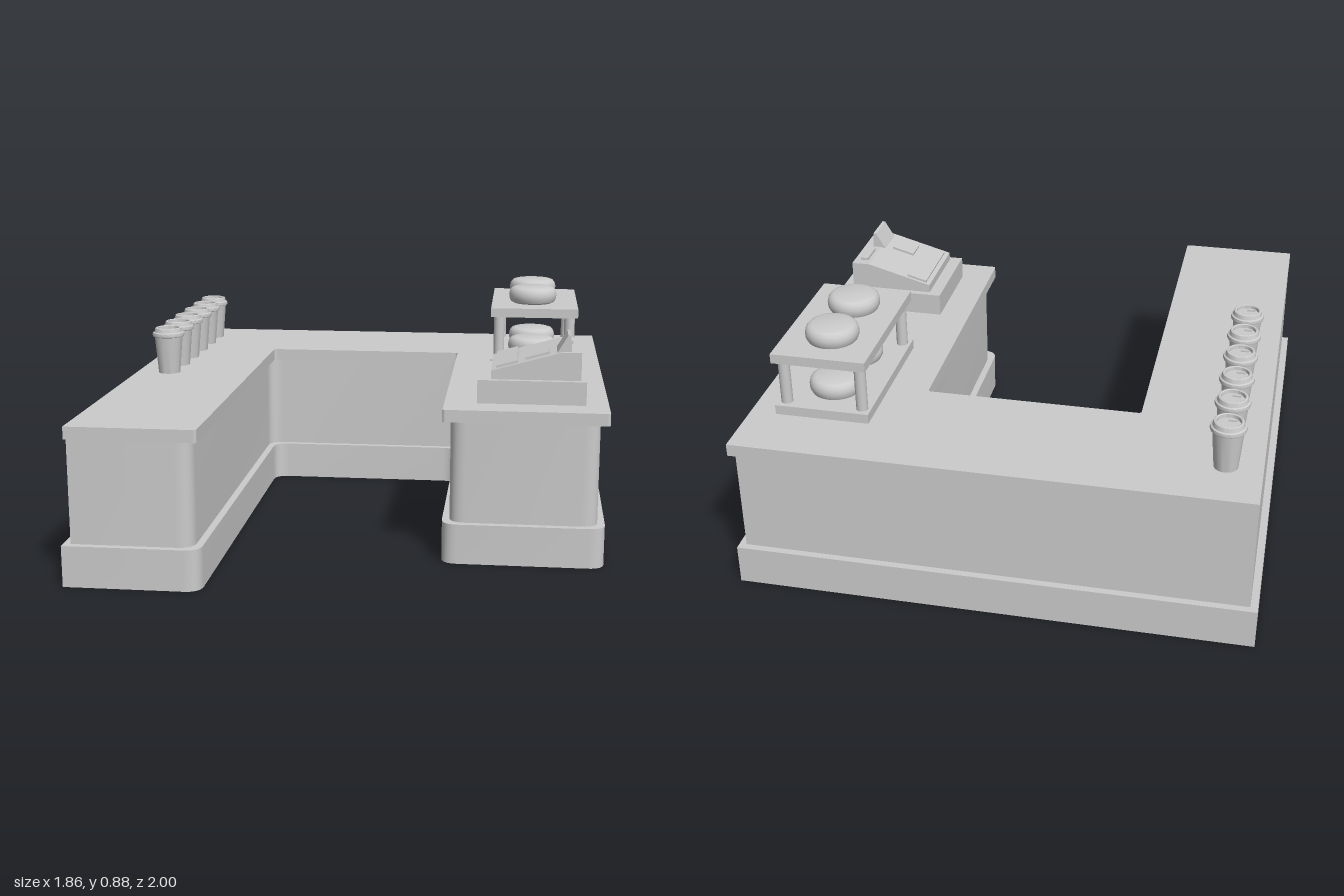
import * as THREE from 'three';
import { toCreasedNormals } from 'three/addons/utils/BufferGeometryUtils.js';

const grey = new THREE.MeshStandardMaterial({ color: 0xcccccc });
const greyDouble = new THREE.MeshStandardMaterial({ color: 0xcccccc, side: THREE.DoubleSide });

function part(parent, name, geometry, x = 0, y = 0, z = 0, material = grey) {
  const mesh = new THREE.Mesh(geometry, material);
  mesh.name = name;
  mesh.position.set(x, y, z);
  parent.add(mesh);
  return mesh;
}

function box(parent, name, w, h, d, x, bottom, z) {
  return part(parent, name, new THREE.BoxGeometry(w, h, d), x, bottom + h / 2, z);
}

function lathe(points, segments = 32) {
  const profile = points.map(([r, y]) => new THREE.Vector2(r, y));
  return toCreasedNormals(new THREE.LatheGeometry(profile, segments), 0.6);
}

// U-shaped plan with one long and one short arm; shape y is -z
function counterPlan(left, right, back, inset, radius) {
  const corners = [
    [left + inset, 1 - inset, 0],
    [-0.45 - inset, 1 - inset, radius],
    [-0.45 - inset, -0.483 - inset, radius],
    [0.34 + inset, -0.483 - inset, radius],
    [0.34 + inset, 0.607 - inset, radius],
    [right - inset, 0.607 - inset, radius],
    [right - inset, back + inset, 0],
    [left + inset, back + inset, 0],
  ].map(([x, z, r]) => ({ p: new THREE.Vector2(x, -z), r }));
  const shape = new THREE.Shape();
  corners.forEach(({ p, r }, i) => {
    if (i === 0) return shape.moveTo(p.x, p.y);
    if (r === 0) return shape.lineTo(p.x, p.y);
    const toward = (q) => p.clone().add(q.clone().sub(p).setLength(r));
    const a = toward(corners[i - 1].p);
    const b = toward(corners[(i + 1) % corners.length].p);
    shape.lineTo(a.x, a.y);
    shape.quadraticCurveTo(p.x, p.y, b.x, b.y);
  });
  shape.lineTo(corners[0].p.x, corners[0].p.y);
  return shape;
}

// Open walls joining plan outlines stacked at different heights
function walls(levels) {
  const rings = levels.map(([shape, y]) =>
    shape.getPoints(8).map((p) => new THREE.Vector3(p.x, y, -p.y)));
  const points = [];
  for (let k = 0; k < rings.length - 1; k++) {
    const lower = rings[k], upper = rings[k + 1];
    for (let i = 0; i < lower.length - 1; i++) {
      points.push(lower[i], lower[i + 1], upper[i + 1], lower[i], upper[i + 1], upper[i]);
    }
  }
  return toCreasedNormals(new THREE.BufferGeometry().setFromPoints(points), 0.6);
}

function extrudeAlongZ(points, z0, z1) {
  const shape = new THREE.Shape(points.map(([x, y]) => new THREE.Vector2(x, y)));
  const geometry = new THREE.ExtrudeGeometry(shape, { depth: z1 - z0, bevelEnabled: false });
  return geometry.translate(0, 0, z0);
}

function makeCounter() {
  const counter = new THREE.Group();
  counter.name = 'counter';
  const plinth = counterPlan(-0.93, 0.922, -1, 0, 0.06);
  const body = counterPlan(-0.93, 0.922, -1, 0.026, 0.06);
  part(counter, 'plinth', walls([[plinth, 0], [plinth, 0.147], [body, 0.147]]), 0, 0, 0, greyDouble);
  part(counter, 'counterBody', walls([[body, 0.147], [body, 0.523]]), 0, 0, 0, greyDouble);

  const slab = new THREE.ExtrudeGeometry(counterPlan(-0.905, 0.926, -0.975, 0, 0.012),
    { depth: 0.045, bevelEnabled: false });
  part(counter, 'countertop', slab.rotateX(-Math.PI / 2), 0, 0.521, 0);
  return counter;
}

const TOP = 0.566;

function makeCup(z) {
  const cup = new THREE.Group();
  cup.name = 'cup';
  cup.position.set(-0.777, TOP, z);
  part(cup, 'cupBody', lathe([[0, 0], [0.042, 0], [0.055, 0.15]]));
  part(cup, 'cupLid', lathe([
    [0.055, 0.144], [0.061, 0.146], [0.063, 0.152], [0.061, 0.16], [0.055, 0.163],
    [0.051, 0.178], [0.046, 0.18], [0.042, 0.178], [0.041, 0.166], [0, 0.166],
  ]));
  box(cup, 'sipTab', 0.03, 0.006, 0.009, -0.012, 0.166, 0.02);
  return cup;
}

function makeCakeStand() {
  const stand = new THREE.Group();
  stand.name = 'cakeStand';
  stand.position.set(0.658, TOP, -0.457);
  const cake = lathe([
    [0, 0], [0.075, 0], [0.088, 0.006], [0.095, 0.02], [0.096, 0.036],
    [0.092, 0.052], [0.083, 0.062], [0.07, 0.066], [0, 0.067],
  ], 40);
  for (const [name, y] of [['lowerShelf', 0], ['upperShelf', 0.207]]) {
    box(stand, name, 0.345, 0.036, 0.578, 0, y, 0);
    for (const z of [-0.137, 0.108]) part(stand, 'cake', cake, -0.008, y + 0.036, z);
  }
  const post = new THREE.CylinderGeometry(0.021, 0.021, 0.172, 20);
  for (const x of [-0.14, 0.14]) {
    for (const z of [-0.25, 0.25]) part(stand, 'post', post, x, 0.121, z);
  }
  return stand;
}

function makeRegister() {
  const register = new THREE.Group();
  register.name = 'cashRegister';
  box(register, 'cashDrawer', 0.388, 0.085, 0.366, 0.651, TOP, 0.305);

  // Sloped housing facing the inside of the counter
  part(register, 'housing', extrudeAlongZ(
    [[0.505, 0.65], [0.825, 0.65], [0.825, 0.752], [0.755, 0.752], [0.505, 0.682]], 0.146, 0.466));
  part(register, 'display', extrudeAlongZ(
    [[0.735, 0.742], [0.79, 0.742], [0.786, 0.812], [0.775, 0.81]], 0.318, 0.446));

  // Panels lying on the slope
  const slope = Math.atan2(0.07, 0.25);
  for (const [name, w, d, x, z] of [
    ['keyPanel', 0.08, 0.286, 0.561, 0.3],
    ['numberPad', 0.09, 0.092, 0.67, 0.383],
  ]) {
    const y = 0.682 + (x - 0.505) * 0.28;
    part(register, name, new THREE.BoxGeometry(w, 0.018, d), x, y, z).rotation.z = slope;
  }
  box(register, 'receiptSlot', 0.03, 0.012, 0.1, 0.785, 0.75, 0.232);
  return register;
}

export function createModel() {
  const model = new THREE.Group();
  model.name = 'cafeCounter';
  model.add(makeCounter(), makeCakeStand(), makeRegister());
  for (let i = 0; i < 6; i++) model.add(makeCup(-0.767 + i * 0.164));
  return model;
}
